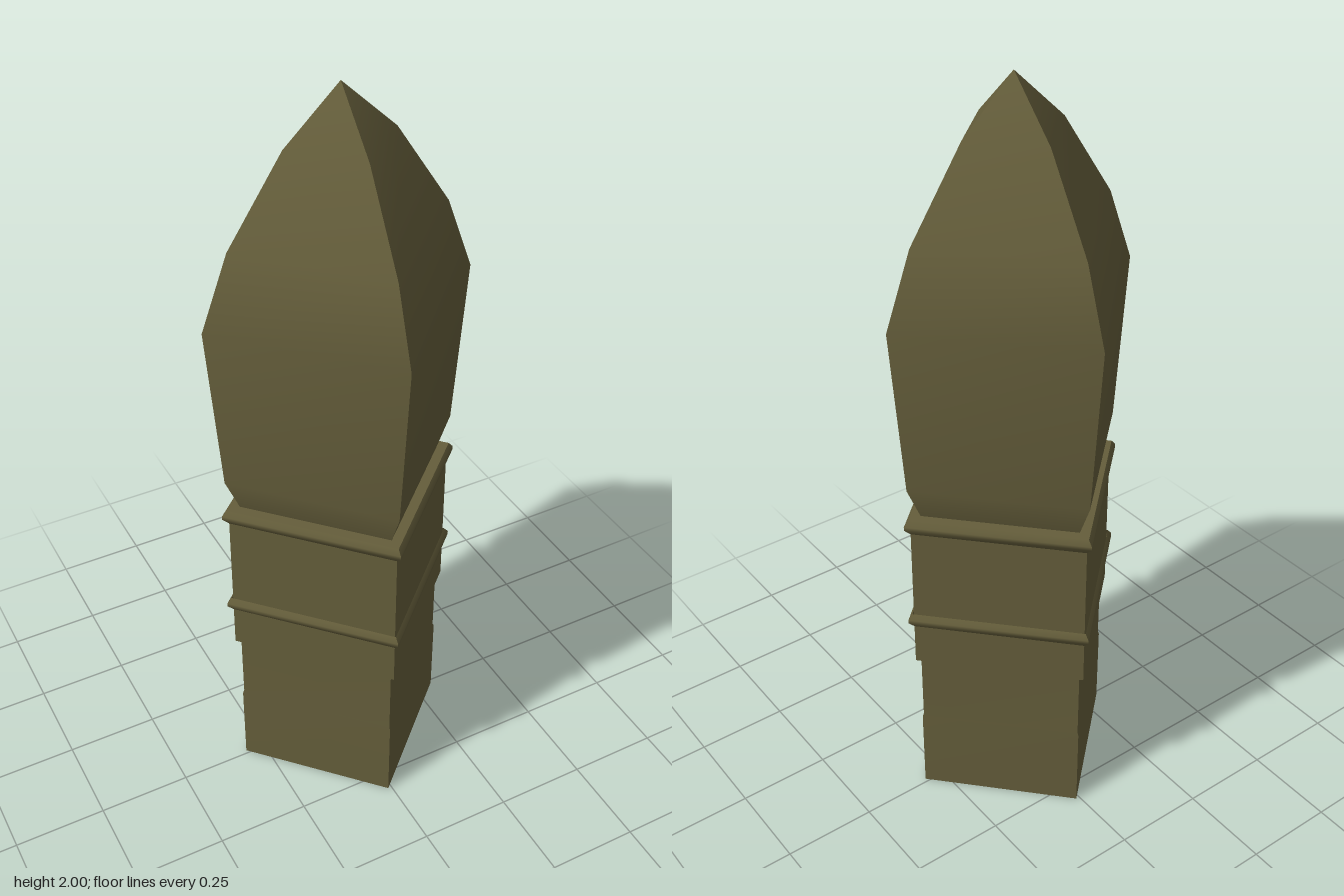
import * as THREE from 'three';

// Open four-sided tube swept through a profile of [radius, height] points;
// smooth along the height, sharp at the four corners.
function squareSweep(profile) {
  const positions = [];
  const indices = [];
  for (let side = 0; side < 4; side++) {
    const base = positions.length / 3;
    for (const [r, y] of profile) {
      for (const step of [0, 1]) {
        const a = (side + step) * Math.PI / 2;
        positions.push(r * Math.cos(a), y, r * Math.sin(a));
      }
    }
    for (let i = 0; i < profile.length - 1; i++) {
      const p = base + i * 2;
      indices.push(p, p + 2, p + 1);
      if (profile[i + 1][0] > 0) indices.push(p + 1, p + 2, p + 3);
    }
  }
  const geometry = new THREE.BufferGeometry();
  geometry.setAttribute('position', new THREE.Float32BufferAttribute(positions, 3));
  geometry.setIndex(indices);
  geometry.computeVertexNormals();
  return geometry;
}

export function createModel() {
  const model = new THREE.Group();
  model.name = 'post';
  const olive = new THREE.MeshStandardMaterial({ color: 0x655e3b, side: THREE.DoubleSide });
  olive.name = 'olive';

  const add = (name, profile) => {
    const mesh = new THREE.Mesh(squareSweep(profile), olive);
    mesh.name = name;
    model.add(mesh);
  };

  // Lower shaft, open underneath
  add('shaft', [[0.305, 0], [0.305, 0.24], [0.301, 0.25], [0.301, 0.45]]);

  // Collar with its narrow underside and top ledge
  add('collarUnderside', [[0.301, 0.45], [0.318, 0.45]]);
  add('collar', [[0.318, 0.45], [0.316, 0.9]]);
  add('collarLedge', [[0.322, 0.91], [0.285, 0.91]]);

  // Two raised mouldings around the collar
  for (const [name, y] of [['lowerRing', 0.59], ['upperRing', 0.89]]) {
    add(name, [[0.316, y - 0.024], [0.335, y - 0.005], [0.335, y + 0.005], [0.322, y + 0.02]]);
  }

  // Swelling pointed head
  add('head', [
    [0.285, 0.91], [0.322, 1.0], [0.356, 1.45], [0.285, 1.645], [0.142, 1.865], [0, 2],
  ]);

  // The corners point almost exactly along the axes
  model.rotation.y = -0.034;
  return model;
}
